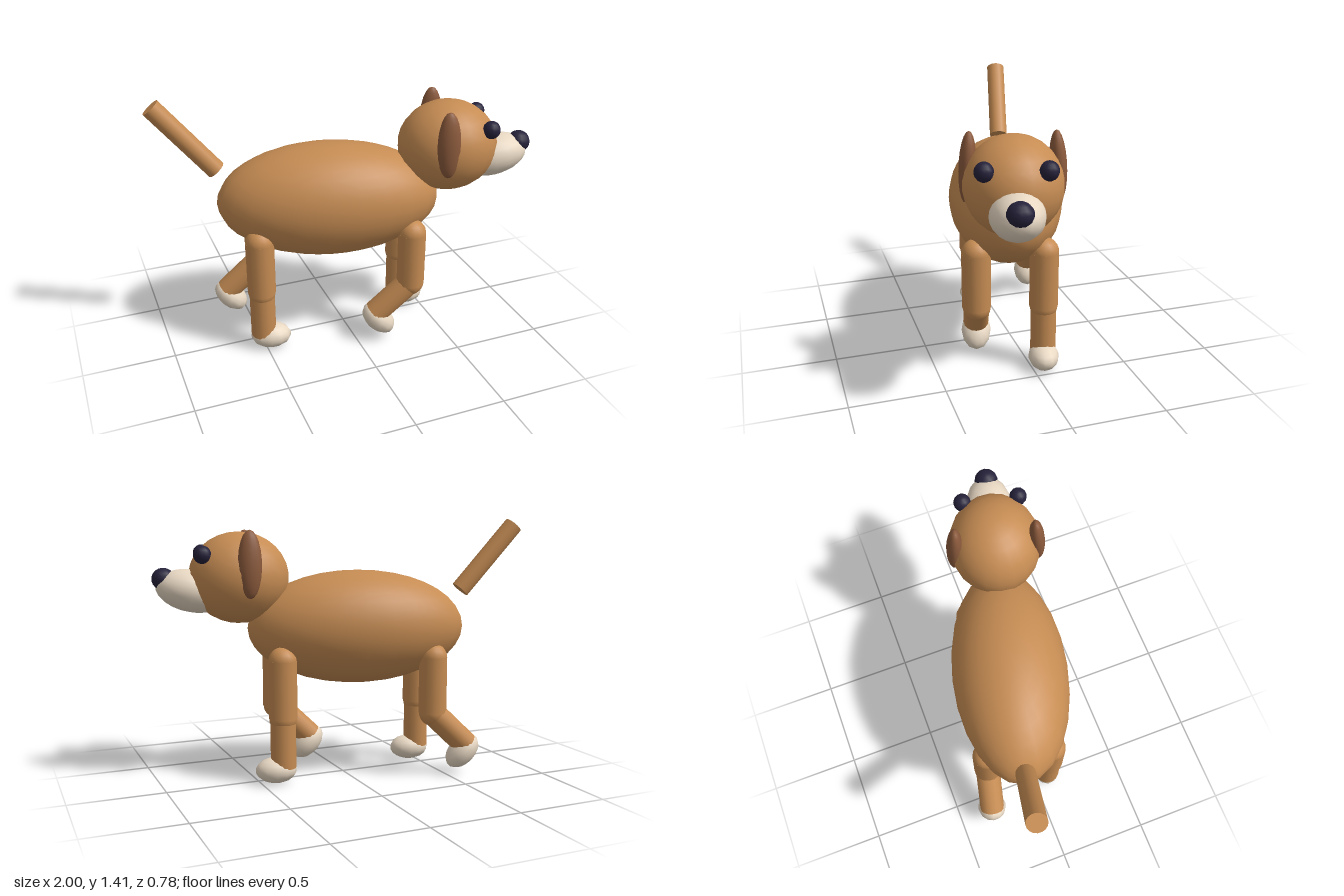
import * as THREE from 'three';

const mat = (color) => new THREE.MeshStandardMaterial({ color });

export function createModel() {
  const fur = mat(0xc68c53), cream = mat(0xe8d8c3), earFur = mat(0x8b5a3c), dark = mat(0x25213a);

  const model = new THREE.Group();
  model.name = 'dog';
  // The dog walks along its local +x, turned a little towards +z
  const dog = new THREE.Group();
  dog.name = 'walkingDog';
  dog.position.x = -0.085;
  dog.rotation.y = -0.237;
  model.add(dog);

  const ball = (parent, name, material, radii, pos, seg = 16) => {
    const mesh = new THREE.Mesh(new THREE.SphereGeometry(1, seg, Math.round(seg * 0.75)), material);
    mesh.name = name;
    mesh.scale.set(...radii);
    mesh.position.set(...pos);
    parent.add(mesh);
    return mesh;
  };

  const rod = (parent, name, radius, length, pos) => {
    const mesh = new THREE.Mesh(new THREE.CylinderGeometry(radius, radius, length, 16), fur);
    mesh.name = name;
    mesh.position.set(...pos);
    parent.add(mesh);
    return mesh;
  };

  // Torso and tail
  ball(dog, 'body', fur, [0.606, 0.313, 0.313], [0, 0.823, 0], 24);
  const tail = rod(dog, 'tail', 0.052, 0.475, [-0.75, 1.2, 0]);
  tail.rotation.z = 0.706;

  // Head
  const head = new THREE.Group();
  head.name = 'head';
  head.position.set(0.648, 1.1, 0);
  dog.add(head);
  ball(head, 'skull', fur, [0.27, 0.246, 0.246], [0, 0, 0], 20);
  const muzzle = ball(head, 'muzzle', cream, [0.2, 0.115, 0.132], [0.245, -0.07, 0]);
  muzzle.rotation.z = 0.18;
  ball(head, 'nose', dark, [0.062, 0.06, 0.064], [0.4, -0.005, 0], 12);
  for (const side of [-1, 1]) {
    const label = side < 0 ? 'left' : 'right';
    ball(head, label + 'Eye', dark, [0.047, 0.048, 0.047], [0.195, 0.127, side * 0.149], 12);
    const ear = ball(head, label + 'Ear', earFur, [0.062, 0.178, 0.043], [-0.046, 0.078, side * 0.218], 14);
    ear.rotation.x = side * -0.06;
  }

  // Legs: the shin group hinges at the knee, swinging back by the given angle
  const addLeg = (name, x, z, swing) => {
    const leg = new THREE.Group();
    leg.name = name;
    leg.position.set(x, 0, z);
    dog.add(leg);
    ball(leg, 'hip', fur, [0.077, 0.077, 0.077], [0, 0.663, 0]);
    rod(leg, 'thigh', 0.077, 0.31, [0, 0.51, 0]);

    const shin = new THREE.Group();
    shin.name = 'lowerLeg';
    shin.position.y = 0.355;
    shin.rotation.z = -swing;
    leg.add(shin);
    ball(shin, 'knee', fur, [0.075, 0.075, 0.075], [0, 0, 0]);
    rod(shin, 'shin', 0.069, 0.27, [0, -0.135, 0]);
    ball(shin, 'paw', cream, [0.112, 0.07, 0.082], [0.04, -0.283, 0], 12);
  };
  addLeg('frontRightLeg', 0.435, 0.178, 0.8);
  addLeg('frontLeftLeg', 0.435, -0.178, 0);
  addLeg('hindRightLeg', -0.392, 0.178, 0);
  addLeg('hindLeftLeg', -0.392, -0.178, 0.8);

  return model;
}
